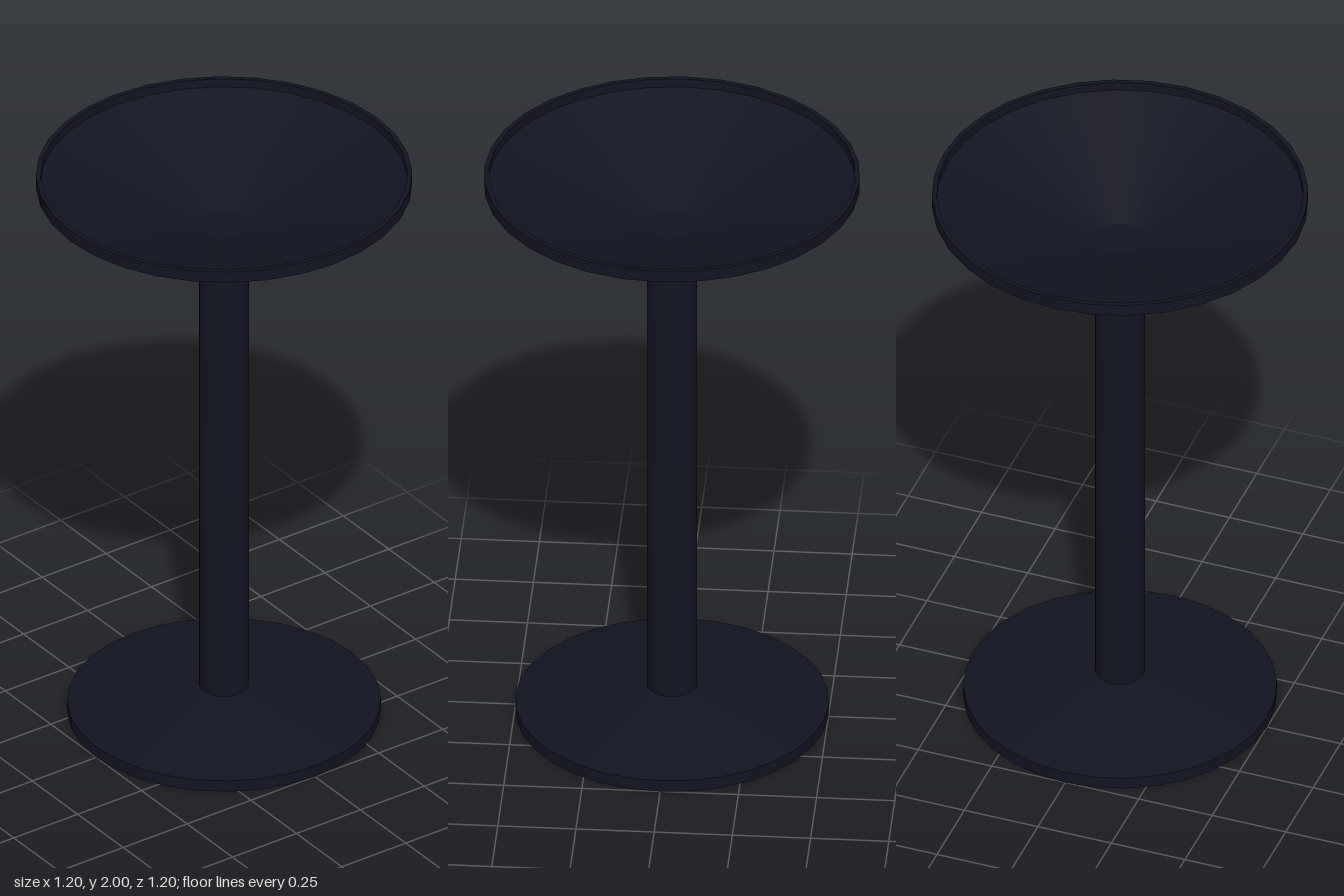
import * as THREE from 'three';
import { toCreasedNormals } from 'three/addons/utils/BufferGeometryUtils.js';

const SIDES = 32;
const POLE_RADIUS = 0.08;

export function createModel() {
  const group = new THREE.Group();
  const material = new THREE.MeshStandardMaterial({ color: 0x111322 });

  // Turned part from [radius, height] pairs, running up the outside
  function turned(name, profile) {
    const points = profile.map(([r, y]) => new THREE.Vector2(r, y));
    const geometry = toCreasedNormals(new THREE.LatheGeometry(points, SIDES), 0.22);
    const mesh = new THREE.Mesh(geometry, material);
    mesh.name = name;
    group.add(mesh);
  }

  // Flat-bottomed foot with a shallow cone rising to the pole
  turned('base', [[0, 0], [0.5, 0], [0.5, 0.04], [POLE_RADIUS, 0.1]]);

  // Straight pole
  turned('pole', [[POLE_RADIUS, 0.1], [POLE_RADIUS, 1.8]]);

  // Shallow dish with a thin upright rim
  turned('dish', [
    [POLE_RADIUS, 1.8], [0.6, 1.96], [0.6, 2], [0.585, 2],
    [0.585, 1.97], [POLE_RADIUS, 1.815], [0, 1.815],
  ]);

  return group;
}
